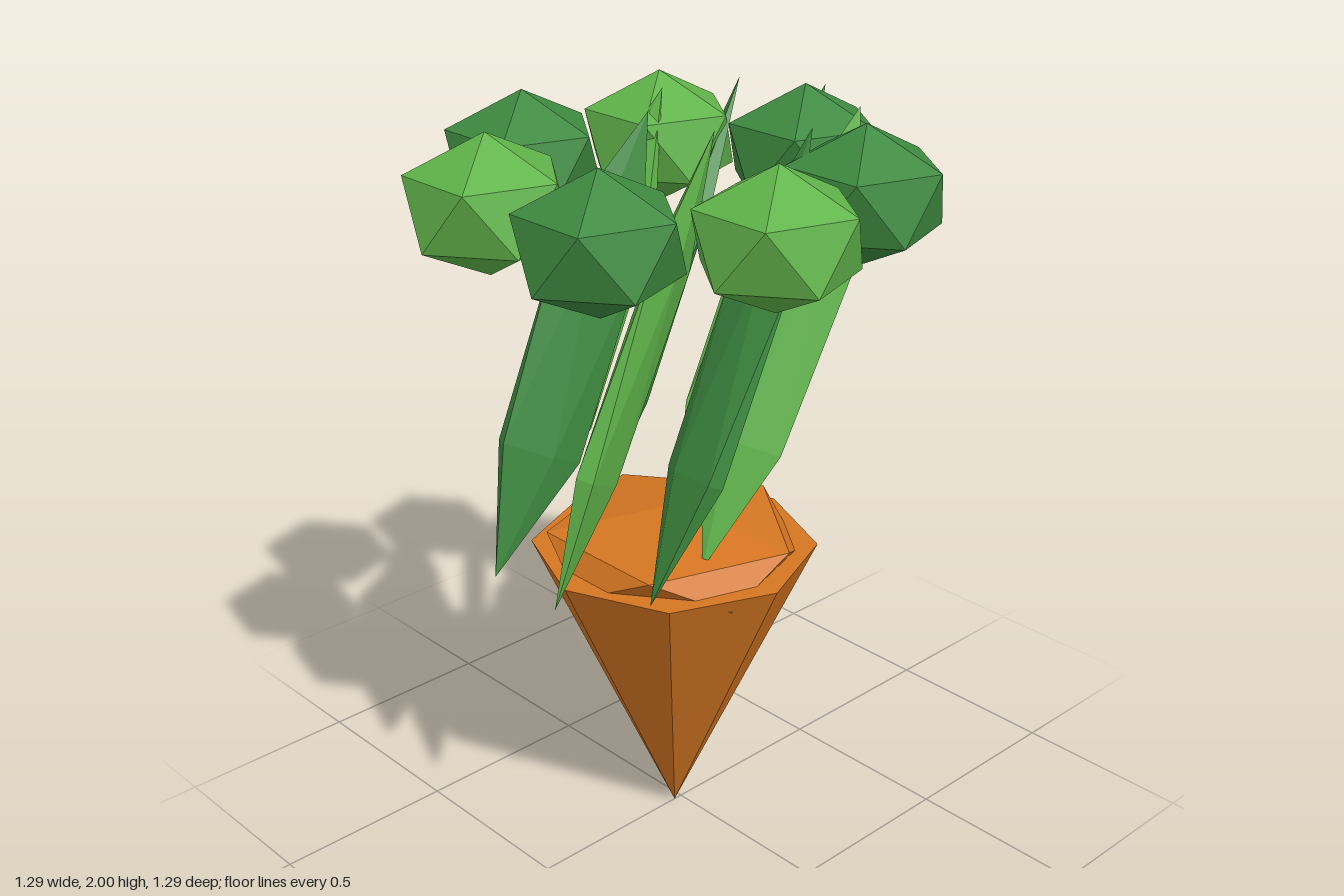
import * as THREE from 'three';

const COUNT = 7;      // stems and leaf clusters in the ring
const CX = -0.025;    // axis of the root
const LEAN = 0.453;   // lean of the stems toward +x

const mat = (name, color) => {
  const m = new THREE.MeshStandardMaterial({ color, flatShading: true });
  m.name = name;
  return m;
};

// Icosahedron standing on a pole; rx and rz are the radii of its five-sided rings
function gem(rx, halfHeight, rz) {
  const ring = 2 / Math.sqrt(5);
  const g = new THREE.IcosahedronGeometry(1, 0);
  g.rotateZ(-Math.atan(2 / (1 + Math.sqrt(5))));
  return g.scale(rx / ring, halfHeight, rz / ring);
}

export function createModel() {
  const group = new THREE.Group();
  const orange = mat('carrot orange', 0xd47522);
  const light = mat('light green', 0x60b34a);
  const dark = mat('dark green', 0x3e8a40);

  const add = (name, geometry, material) => {
    const mesh = new THREE.Mesh(geometry, material);
    mesh.name = name;
    group.add(mesh);
  };

  // Eight-sided tapering root and its low faceted crown
  add('root', new THREE.CylinderGeometry(0.385, 0, 0.835, 8).translate(CX, 0.4175, 0), orange);
  add('crown', gem(0.342, 0.108, 0.342).translate(CX, 0.841, 0), orange);

  for (let i = 0; i < COUNT; i++) {
    const a = (i / COUNT) * Math.PI * 2;
    const c = Math.cos(a), s = -Math.sin(a);

    // Flat stem, broad side radial, then leaned
    const stem = gem(0.12, 0.617, 0.039).rotateY(a).rotateZ(-LEAN);
    add('stem', stem.translate(CX + 0.272 * c, 1.43, 0.272 * s), i === 0 || i % 2 === 0 ? light : dark);

    // Leaf cluster in the opposite green
    const leaf = gem(0.2, 0.178, 0.2);
    add('leafCluster', leaf.translate(CX + 0.467 * c, 1.822, 0.467 * s), i % 2 === 0 ? dark : light);
  }
  return group;
}
